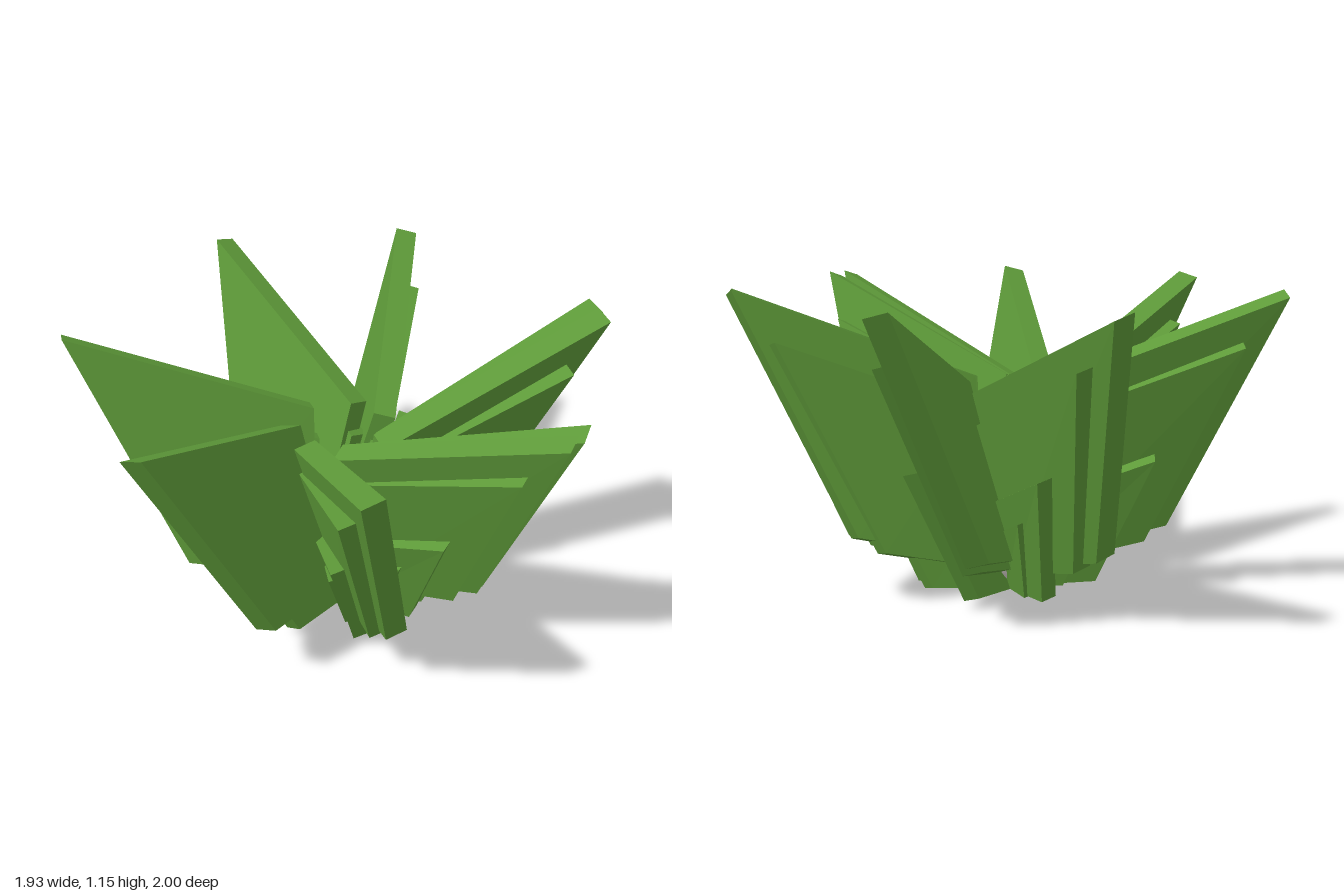
import * as THREE from 'three';

const green = new THREE.MeshStandardMaterial({ color: 0x5e9a39, flatShading: true });
green.name = 'leaf green';
const pale = new THREE.MeshStandardMaterial({ color: 0xdcd5d2 });
pale.name = 'pale core';

// Corners of a full-size leaf pointing to +z: outer/inner, top/bottom
const V = (x, y, z) => new THREE.Vector3(x, y, z);
const corners = {
  outerTop: V(-0.11, 1.142, 1.01), innerTop: V(-0.155, 0.79, 0.1),
  outerLow: V(0.08, 0.25, 0.6), innerLow: V(0.03, 0.12, 0.1),
};
const across = V(0.95, 0.26, -0.15).normalize();

// A slab spanned by the four corners, scaled about the plant's foot
function leafGeometry(scale, drop, thickness) {
  const geo = new THREE.BoxGeometry(2, 2, 2);
  const pos = geo.attributes.position;
  for (let i = 0; i < pos.count; i++) {
    const key = (pos.getZ(i) > 0 ? 'outer' : 'inner') + (pos.getY(i) > 0 ? 'Top' : 'Low');
    const p = corners[key].clone().multiplyScalar(scale);
    p.addScaledVector(across, pos.getX(i) * thickness / 2);
    pos.setXYZ(i, p.x, Math.max(0.005, p.y - drop), p.z);
  }
  geo.computeVertexNormals();
  return geo;
}

// Each whorl: size, downward shift, thickness and leaf directions in degrees
const whorls = [
  { name: 'tallLeaf', scale: 1, drop: 0, thick: 0.085,
    angles: [0, 46.4, 88.9, 93.4, 142.8, 147.4, 204.6, 248.6, 307.6] },
  { name: 'middleLeaf', scale: 0.86, drop: 0.02, thick: 0.075,
    angles: [-3, 42.5, 86, 99, 139, 152.5, 201, 244.5, 304] },
  { name: 'shortLeaf', scale: 0.56, drop: 0.1, thick: 0.06,
    angles: [-6, 40, 83.5, 102, 137.5, 155, 192, 241, 300] },
  { name: 'baseLeaf', scale: 0.36, drop: 0.07, thick: 0.045,
    angles: [-9, 37, 80, 104, 133, 188, 237, 296] },
];

export function createModel() {
  const group = new THREE.Group();
  const plant = new THREE.Group();
  plant.name = 'leafRosette';
  plant.position.set(-0.05, 0, -0.02);
  group.add(plant);

  for (const { name, scale, drop, thick, angles } of whorls) {
    const geo = leafGeometry(scale, drop, thick);
    for (const a of angles) {
      const leaf = new THREE.Mesh(geo, green);
      leaf.name = name;
      leaf.rotation.y = THREE.MathUtils.degToRad(a);
      plant.add(leaf);
    }
  }

  // Rounded core hidden among the leaves
  const core = new THREE.Mesh(new THREE.SphereGeometry(0.125, 24, 16), pale);
  core.name = 'core';
  core.scale.y = 1.4;
  core.position.y = 0.19;
  plant.add(core);
  return group;
}
